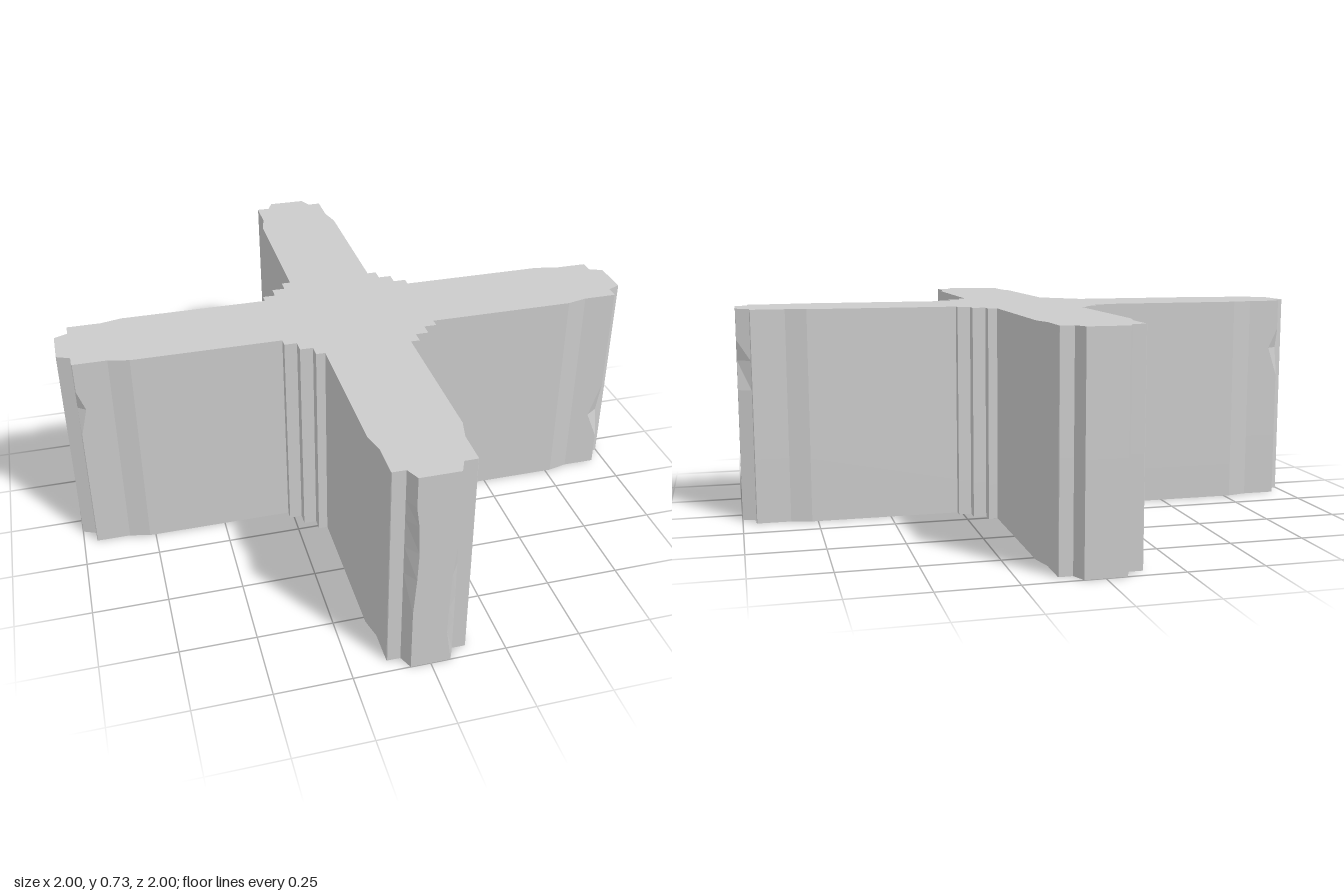
import * as THREE from 'three';

// heights of the cross-section layers
const LEVELS = [0, 0.12, 0.22, 0.35, 0.45, 0.55, 0.62, 0.725];

// half of one arm, from its tip to the stepped inner corner: [along, across]
const HALF_ARM = [
  [1, 0.065], [0.955, 0.085], [0.955, 0.128], [0.953, 0.13], [0.84, 0.13], [0.77, 0.147],
  [0.265, 0.147], [0.265, 0.178], [0.222, 0.178], [0.222, 0.222],
];

// worn spots: layer, outline point [x, z], where it moves to
const NICKS = [
  // chipped corners
  [2, [0.953, 0.13], [0.91, 0.13]], [2, [0.955, 0.128], [0.955, 0.1]],
  [5, [-0.953, 0.13], [-0.928, 0.13]], [5, [-0.955, 0.128], [-0.955, 0.11]],
  [5, [-0.953, -0.13], [-0.92, -0.13]], [5, [-0.955, -0.128], [-0.955, -0.11]],
  // uneven end edges
  [1, [0.065, 1], [0.048, 1]], [2, [0.065, 1], [0.05, 1]], [3, [0.065, 1], [0.055, 1]],
  [3, [-0.065, 1], [-0.056, 1]], [4, [-0.065, 1], [-0.052, 1]], [5, [-0.065, 1], [-0.056, 1]],
  [5, [1, -0.065], [1, -0.05]],
];

// four equal arms, each quarter running tip - inner corner - next tip
function crossOutline() {
  const quarter = [...HALF_ARM, ...HALF_ARM.slice(0, -1).reverse().map(([a, b]) => [b, a])];
  const points = [];
  for (let i = 0; i < 4; i++) {
    for (const [x, y] of quarter) {
      points.push(new THREE.Vector2(x, y).rotateAround(new THREE.Vector2(), i * Math.PI / 2));
    }
  }
  return new THREE.Shape(points);
}

export function createModel() {
  const group = new THREE.Group();
  group.name = 'crossBlock';

  const steps = LEVELS.length - 1;
  const geometry = new THREE.ExtrudeGeometry(crossOutline(), { depth: steps, steps, bevelEnabled: false });
  geometry.rotateX(-Math.PI / 2);

  // set the layer heights and press in the worn spots
  const pos = geometry.attributes.position;
  for (let i = 0; i < pos.count; i++) {
    const layer = Math.round(pos.getY(i));
    const x = pos.getX(i), z = pos.getZ(i);
    const nick = NICKS.find(([l, p]) => l === layer && Math.hypot(p[0] - x, p[1] - z) < 0.001);
    const [nx, nz] = nick ? nick[2] : [x, z];
    pos.setXYZ(i, nx, LEVELS[layer], nz);
  }
  geometry.computeVertexNormals();

  const mesh = new THREE.Mesh(geometry, new THREE.MeshStandardMaterial({ color: 0xcccccc, flatShading: true }));
  mesh.name = 'crossBody';
  group.add(mesh);
  return group;
}
